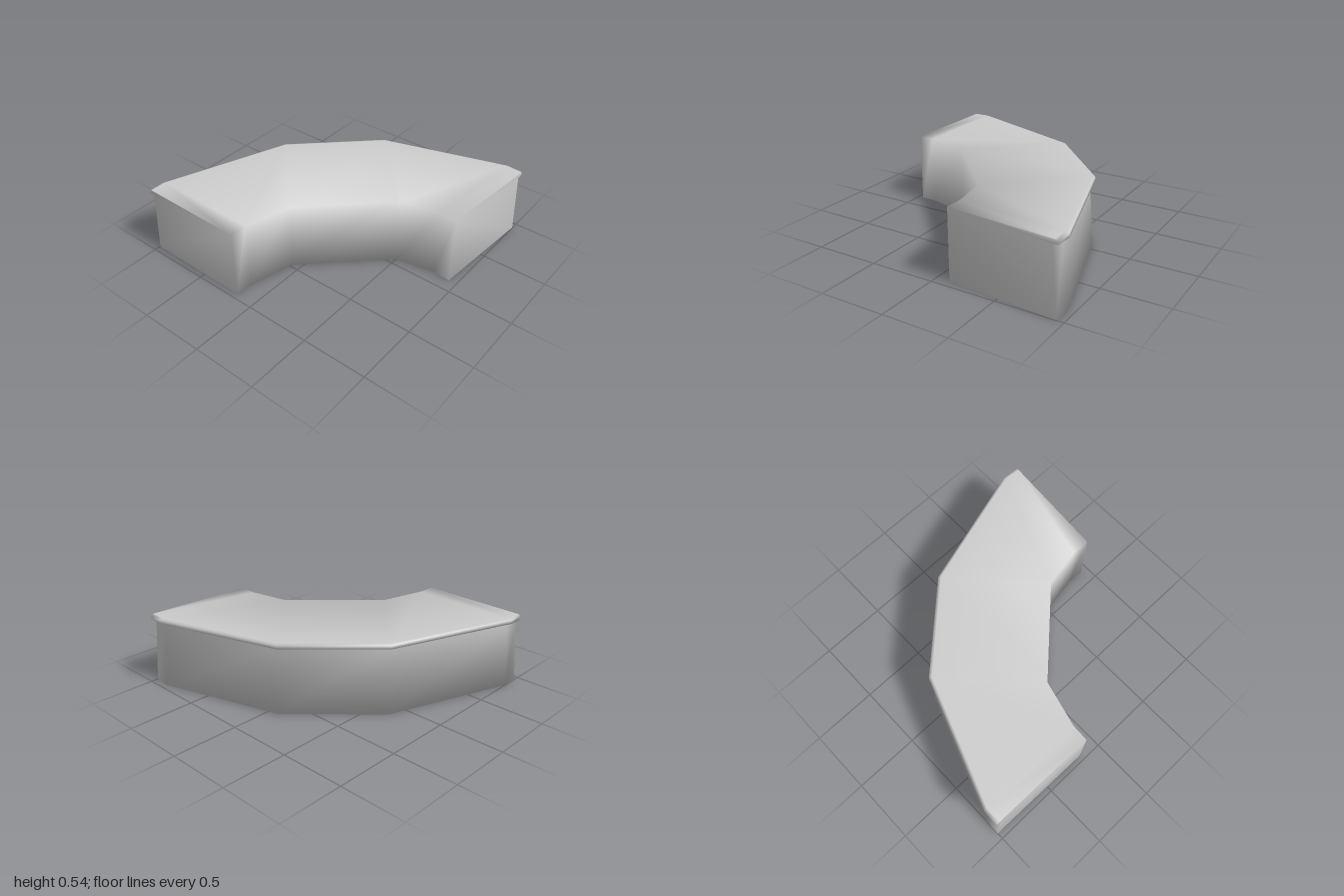
import * as THREE from 'three';

// Plan stations around the bend: inner x, inner z, outer x, outer z
const stations = [
  [-0.96, -0.16, -0.95, -1.0],
  [-0.83, -0.155, -0.83, -1.0],
  [-0.48, -0.065, 0.13, -0.65],
  [0.055, 0.5, 0.67, -0.08],
  [0.11, 0.8, 0.955, 0.87],
  [0.105, 0.935, 0.945, 0.998],
];

// Cross-section: [measured from outer edge?, inset, height]
const section = [
  [false, 0, 0], // inner foot
  [false, 0, 0.54], // inner top
  [true, 0.025, 0.54], // rounded lip
  [true, 0.004, 0.532],
  [true, 0, 0.505],
  [true, 0.042, 0.5], // under the lip
  [true, 0, 0], // outer foot
];

function buildBend() {
  const positions = [];
  const index = [];
  const n = section.length;

  for (const [ix, iz, ox, oz] of stations) {
    const inner = new THREE.Vector3(ix, 0, iz);
    const outer = new THREE.Vector3(ox, 0, oz);
    const inward = inner.clone().sub(outer).normalize();
    for (const [fromOuter, inset, y] of section) {
      const p = (fromOuter ? outer : inner).clone().addScaledVector(inward, inset);
      positions.push(p.x, y, p.z);
    }
  }

  // Skin between neighbouring sections
  for (let s = 0; s < stations.length - 1; s++) {
    for (let i = 0; i < n; i++) {
      const j = (i + 1) % n;
      const a = s * n + i, b = s * n + j;
      const d = a + n, c = b + n;
      index.push(a, d, c, a, c, b);
    }
  }

  // End caps, fanned from the inner top corner
  const last = (stations.length - 1) * n;
  for (let k = 2; k < n; k++) {
    const next = (k + 1) % n;
    index.push(1, k, next);
    index.push(last + 1, last + next, last + k);
  }

  const geometry = new THREE.BufferGeometry();
  geometry.setAttribute('position', new THREE.Float32BufferAttribute(positions, 3));
  geometry.setIndex(index);
  geometry.computeVertexNormals(); // shared corners give soft edges
  return geometry;
}

export function createModel() {
  const group = new THREE.Group();
  group.name = 'curvedPlatform';
  const stone = new THREE.MeshStandardMaterial({ color: 0xcccccc });
  stone.name = 'paleGrey';
  const bend = new THREE.Mesh(buildBend(), stone);
  bend.name = 'curvedBlockWithLip';
  group.add(bend);
  return group;
}
